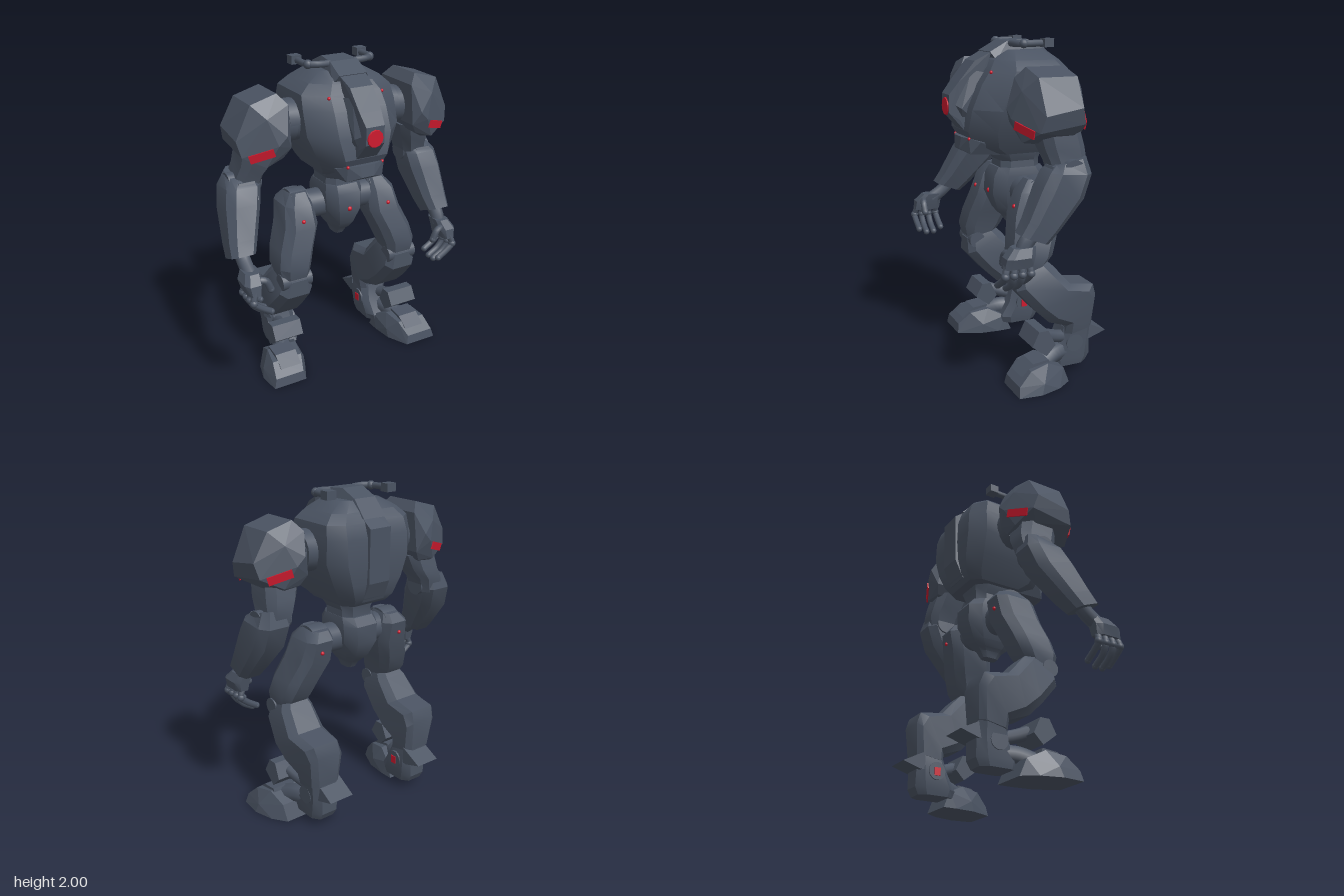
import * as THREE from 'three';
import { toCreasedNormals } from 'three/addons/utils/BufferGeometryUtils.js';
import { ConvexGeometry } from 'three/addons/geometries/ConvexGeometry.js';

const armor = new THREE.MeshStandardMaterial({ color: 0x4a5362 });
armor.name = 'slate armor';
const red = new THREE.MeshStandardMaterial({ color: 0xcc1a2e });
red.name = 'signal red';

const MID = 0.05; // the body's plane of symmetry

function add(parent, name, geo, mat = armor) {
  const mesh = new THREE.Mesh(geo, mat);
  mesh.name = name;
  parent.add(mesh);
  return mesh;
}

// Stacked chamfered sections, top to bottom:
// [x, y, z, halfWidth, halfDepth, front chamfer, slope, back chamfer]
function loft(rings) {
  const pos = [], idx = [], n = 8;
  for (const [x, y, z, w, d, c = 0.4, slope = 0, cb = c] of rings) {
    const k = 1 - c, q = 1 - cb;
    const pts = [[1, -q], [1, k], [k, 1], [-k, 1], [-1, k], [-1, -q], [-q, -1], [q, -1]];
    for (const [u, v] of pts) pos.push(x + u * w, y + slope * v * d, z + v * d);
  }
  const last = (rings.length - 1) * n;
  for (let r = 0; r < last; r += n) {
    for (let i = 0; i < n; i++) {
      const a = r + i, b = r + (i + 1) % n;
      idx.push(a, b, a + n, b, b + n, a + n);
    }
  }
  for (let i = 1; i < n - 1; i++) idx.push(0, i + 1, i, last, last + i, last + i + 1);
  const geo = new THREE.BufferGeometry();
  geo.setAttribute('position', new THREE.Float32BufferAttribute(pos, 3));
  geo.setIndex(idx);
  return toCreasedNormals(geo, 0.5);
}

const hull = pts => new ConvexGeometry(pts.map(p => new THREE.Vector3(...p)));
// Hull of points mirrored across the body's middle
const midHull = pts => hull(pts.flatMap(([x, y, z]) => [[MID + x, y, z], [MID - x, y, z]]));
const tube = (pts, r, sides = 8) => new THREE.TubeGeometry(
  new THREE.CatmullRomCurve3(pts.map(p => new THREE.Vector3(...p))), 10, r, sides);

// Cylinder whose axis runs along x
function axle(parent, name, x, y, z, r, len) {
  const geo = new THREE.CylinderGeometry(r, r, len, 20);
  geo.rotateZ(-Math.PI / 2);
  add(parent, name, toCreasedNormals(geo, 0.6)).position.set(x, y, z);
}

function ball(parent, name, x, y, z, r, mat = armor) {
  add(parent, name, new THREE.SphereGeometry(r, 14, 10), mat).position.set(x, y, z);
}

function buildTorso(root) {
  const g = new THREE.Group();
  g.name = 'torso';
  root.add(g);
  const body = [ // y, front z, back z, half width
    [1.93, 0.10, -0.16, 0.14], [1.875, 0.17, -0.22, 0.235], [1.82, 0.21, -0.265, 0.295],
    [1.74, 0.265, -0.29, 0.305], [1.60, 0.325, -0.295, 0.305], [1.47, 0.34, -0.285, 0.25],
    [1.37, 0.29, -0.26, 0.195], [1.325, 0.2, -0.22, 0.165]];
  add(g, 'hull', loft(body.map(([y, f, b, w]) =>
    [MID, y, (f + b) / 2, w, (f - b) / 2, 0.44, 0, 0.28])));
  add(g, 'hood', midHull([[0.12, 1.87, 0.15], [0.12, 1.88, -0.02], [0.09, 1.98, 0.07],
    [0.075, 1.988, -0.06], [0.075, 1.94, -0.17], [0.08, 1.84, -0.26], [0.09, 1.92, 0.18]]));
  add(g, 'snout', midHull([[0.085, 1.92, 0.17], [0.075, 1.87, 0.27], [0.07, 1.75, 0.37],
    [0.06, 1.68, 0.425], [0.06, 1.575, 0.425], [0.07, 1.53, 0.36], [0.07, 1.45, 0.32]]));
  add(g, 'spine', midHull([[0.08, 1.96, -0.09], [0.075, 1.79, -0.312], [0.075, 1.47, -0.305],
    [0.08, 1.35, -0.25], [0.09, 1.45, 0]]));
  add(g, 'chin', midHull([[0.165, 1.41, 0.27], [0.12, 1.43, 0.33], [0.05, 1.43, 0.35],
    [0.12, 1.335, 0.32], [0.04, 1.36, 0.36], [0.14, 1.32, 0.12], [0.16, 1.4, 0.1]]));

  // Round chest lamp in a collar
  const lamp = new THREE.CylinderGeometry(0.05, 0.054, 0.009, 12);
  lamp.rotateX(Math.PI / 2);
  add(g, 'chestLamp', lamp, red).position.set(MID, 1.61, 0.427);

  for (const s of [-1, 1]) {
    const x = v => MID + s * v;
    add(g, 'snoutRail', hull([[x(0.07), 1.82, 0.29], [x(0.095), 1.8, 0.2], [x(0.095), 1.6, 0.36],
      [x(0.07), 1.62, 0.39], [x(0.09), 1.55, 0.3], [x(0.07), 1.55, 0.35]]));
    add(g, 'antenna', tube([[x(0.08), 1.965, 0.05], [x(0.16), 1.968, 0.05], [x(0.205), 1.968, 0.02],
      [x(0.215), 1.97, -0.12]], 0.02));
    add(g, 'antennaTip', new THREE.BoxGeometry(0.065, 0.05, 0.06)).position.set(x(0.22), 1.972, -0.12);
    ball(g, 'antennaKnob', x(0.205), 1.968, 0.02, 0.027);
    ball(g, 'chestLight', x(0.175), 1.81, 0.21, 0.01, red);
    ball(g, 'chinLight', x(0.115), 1.425, 0.325, 0.01, red);
    axle(g, 'shoulderCollar', x(0.31), 1.655, -0.01, 0.125, 0.12);
    axle(g, 'shoulderAxle', x(0.39), 1.65, 0, 0.115, 0.14);
  }

  // Waist and pelvis
  add(g, 'waist', loft([[MID, 1.40, -0.01, 0.15, 0.16], [MID, 1.32, -0.01, 0.135, 0.15],
    [MID, 1.27, -0.02, 0.11, 0.125], [MID, 1.2, -0.02, 0.115, 0.13]]));
  add(g, 'pelvis', loft([[MID, 1.23, -0.02, 0.115, 0.14], [MID, 1.18, -0.025, 0.125, 0.175],
    [MID, 1.07, -0.02, 0.12, 0.18], [MID, 0.97, -0.015, 0.08, 0.135], [MID, 0.93, -0.01, 0.058, 0.10],
    [MID, 0.91, -0.01, 0.042, 0.075], [MID, 0.87, -0.01, 0.03, 0.05]]));
  ball(g, 'pelvisLight', MID, 1.08, 0.153, 0.016, red);
}

function buildArm(root, s) {
  const g = new THREE.Group();
  g.name = s > 0 ? 'leftArm' : 'rightArm';
  root.add(g);
  const x = v => MID + s * v;
  const elbow = s > 0 ? 0.605 : 0.625, wrist = s > 0 ? 0.635 : 0.735, handZ = s > 0 ? 0.25 : 0.31;

  // Faceted shoulder pad; the back's lower edge sits higher than the front's
  const half = [[0.50, 1.59, 0.22], [0.69, 1.53, 0.135], [0.56, 1.465, 0.18], [0.45, 1.64, 0.225],
    [0.71, 1.62, 0.11], [0.45, 1.5, 0.165], [0.62, 1.815, 0.115], [0.46, 1.86, 0.115],
    [0.41, 1.80, 0.16], [0.41, 1.56, 0.19], [0.55, 1.74, 0.18], [0.64, 1.50, 0.09], [0.53, 1.45, 0.1]];
  const corners = f => half.map(([a, y, z], i) => [x(a), y + (f < 0 && i < 5 ? 0.035 : 0), 0.013 + f * z]);
  add(g, 'shoulderPad', hull([...corners(1), ...corners(-1)]));

  // Red strips lying on the pad's front and back faces
  for (const f of [1, -1]) {
    const [A, B, C] = corners(f).slice(0, 3).map(p => new THREE.Vector3(...p));
    const u = B.clone().sub(A).normalize();
    const n = u.clone().cross(C.clone().sub(A)).normalize();
    if (n.z * f < 0) n.negate();
    const m = add(g, f > 0 ? 'frontStrip' : 'backStrip', new THREE.BoxGeometry(0.145, 0.048, 0.009), red);
    m.quaternion.setFromRotationMatrix(new THREE.Matrix4().makeBasis(u, n.clone().cross(u), n));
    m.position.copy(A).lerp(B, 0.5).lerp(C, 0.24).addScaledVector(n, 0.003);
  }

  add(g, 'upperArm', loft([[x(0.53), 1.52, -0.02, 0.11, 0.12], [x(0.55), 1.43, -0.04, 0.1, 0.12],
    [x(elbow - 0.04), 1.36, -0.06, 0.085, 0.11], [x(elbow - 0.02), 1.27, -0.06, 0.08, 0.09]]));
  axle(g, 'elbow', x(elbow - 0.015), 1.31, -0.06, 0.065, 0.2);
  const fx = t => x(elbow + (wrist - elbow) * t);
  add(g, 'forearm', loft([[fx(0), 1.365, -0.06, 0.075, 0.09, 0.4, -0.2], [fx(0.1), 1.3, -0.05, 0.107, 0.125, 0.4, 0.1],
    [fx(0.35), 1.19, 0.0, 0.107, 0.125, 0.4, 0.3], [fx(0.8), 1.02, 0.115, 0.088, 0.09, 0.4, 0.4],
    [fx(1), 0.95, 0.17, 0.075, 0.08, 0.4, 0.4]]));
  add(g, 'elbowPlate', hull([-0.05, 0.05].flatMap(d => [[fx(0) + d, 1.34, 0.05], [fx(0) + d, 1.24, 0.1],
    [fx(0) + d, 1.34, 0], [fx(0) + d, 1.24, 0]])));

  // Hand with curled fingers
  const hx = x(wrist - 0.005);
  add(g, 'wrist', tube([[hx, 0.98, 0.15], [hx, 0.93, 0.2], [hx, 0.87, handZ - 0.02]], 0.045));
  add(g, 'palm', loft([[hx, 0.91, handZ - 0.03, 0.045, 0.065], [hx + s * 0.015, 0.86, handZ, 0.055, 0.085],
    [hx + s * 0.015, 0.80, handZ + 0.01, 0.04, 0.085]]));
  for (let i = 0; i < 4; i++) {
    const z = handZ - 0.055 + i * 0.043, drop = i === 0 || i === 3 ? 0.025 : 0;
    const zt = z + (i - 1) * 0.008;
    add(g, 'finger', tube([[hx + s * 0.015, 0.82, z], [hx + s * 0.035, 0.76, zt],
      [hx, 0.70 + drop, zt], [hx - s * 0.07, 0.655 + drop, zt]], 0.02, 7));
    ball(g, 'knuckle', hx + s * 0.035, 0.76, zt, 0.024);
    ball(g, 'fingertip', hx - s * 0.07, 0.655 + drop, zt, 0.02);
  }
  add(g, 'thumb', tube([[hx - s * 0.02, 0.87, handZ + 0.04], [hx - s * 0.06, 0.86, handZ + 0.05],
    [hx - s * 0.09, 0.80, handZ + 0.05]], 0.022, 7));
  ball(g, 'thumbTip', hx - s * 0.09, 0.80, handZ + 0.05, 0.022);
}

function buildLeg(root, s) {
  const g = new THREE.Group();
  g.name = s > 0 ? 'leftLeg' : 'rightLeg';
  root.add(g);
  // The left leg stands a little wider
  const x = (v, y) => MID + s * (v + (s > 0 ? 0.055 * (1.1 - y) : 0));
  const ring = ([a, y, ...rest]) => [x(a, y), y, ...rest];
  const block = (name, x0, x1, prof) => add(g, name,
    hull(prof.flatMap(([z, y]) => [[x(x0, y), y, z], [x(x1, y), y, z]])));

  axle(g, 'hipJoint', x(0.16, 1.09), 1.09, -0.02, 0.09, 0.16);
  axle(g, 'hipCap', x(0.275, 1.12), 1.105, -0.035, 0.1, 0.11);
  add(g, 'thigh', loft([[0.275, 1.19, -0.045, 0.055, 0.08, 0.4, 0.1], [0.29, 1.13, -0.035, 0.093, 0.13],
    [0.295, 1.0, 0.0, 0.11, 0.14], [0.345, 0.87, 0.04, 0.11, 0.135], [0.37, 0.77, 0.07, 0.105, 0.125],
    [0.37, 0.70, 0.09, 0.09, 0.09]].map(ring)));
  ball(g, 'hipLight', x(0.30, 1.045), 1.045, 0.122, 0.013, red);
  ball(g, 'rearHipLight', x(0.30, 1.06), 1.06, -0.153, 0.012, red);
  axle(g, 'knee', x(0.37, 0.67), 0.675, 0.125, 0.052, 0.2);

  add(g, 'shin', loft([[0.365, 0.72, 0.09, 0.085, 0.09, 0.4, -0.4], [0.37, 0.645, 0.065, 0.112, 0.115, 0.35, -0.55],
    [0.375, 0.52, -0.045, 0.127, 0.11, 0.35, -0.63], [0.37, 0.465, -0.165, 0.12, 0.145, 0.3, -0.68],
    [0.36, 0.405, -0.24, 0.115, 0.095, 0.3, -0.9], [0.35, 0.28, -0.23, 0.10, 0.09, 0.35, -0.2]].map(ring)));
  add(g, 'heel', loft([[0.35, 0.30, -0.23, 0.095, 0.09], [0.335, 0.2, -0.215, 0.095, 0.105],
    [0.335, 0.10, -0.185, 0.09, 0.135], [0.335, 0.055, -0.18, 0.08, 0.115]].map(ring)));
  block('heelSpike', 0.245, 0.41, [[-0.28, 0.31], [-0.33, 0.27], [-0.425, 0.235], [-0.31, 0.2], [-0.28, 0.2]]);
  axle(g, 'ankle', x(0.335, 0.2), 0.2, -0.2, 0.055, 0.2);
  add(g, 'ankleLight', new THREE.BoxGeometry(0.009, 0.05, 0.04), red)
    .position.set(x(0.234, 0.2), 0.195, -0.2);

  // Shin guard on its strut, above the foot
  block('shinGuard', 0.315, 0.51, [[0.075, 0.345], [0.015, 0.345], [-0.03, 0.25], [0.03, 0.19], [0.12, 0.26]]);
  add(g, 'guardStrut', tube([[x(0.41, 0.25), 0.28, 0], [x(0.39, 0.25), 0.25, -0.08], [x(0.36, 0.2), 0.22, -0.2]], 0.04));
  add(g, 'footLink', tube([[x(0.42, 0.15), 0.11, 0.02], [x(0.39, 0.15), 0.14, -0.07], [x(0.35, 0.15), 0.14, -0.2]], 0.06));

  // Foot, turned outward a little
  const foot = [];
  for (const [z, y, cx, w] of [[0.24, 0, 0.47, 0.11], [0.23, 0.06, 0.47, 0.095], [0.15, 0.135, 0.45, 0.10],
    [0.03, 0.155, 0.43, 0.10], [-0.08, 0.10, 0.40, 0.11], [-0.12, 0, 0.39, 0.11],
    [0.10, 0, 0.445, 0.15], [0.08, 0.06, 0.44, 0.145], [-0.03, 0, 0.42, 0.14]])
    foot.push([x(cx - w, y), y, z], [x(cx + w, y), y, z]);
  add(g, 'foot', hull(foot));
  block('footRidge', 0.375, 0.515, [[0.2, 0.10], [0.12, 0.16], [0.02, 0.17], [0, 0.1]]);
}

export function createModel() {
  const root = new THREE.Group();
  root.name = 'robot';
  buildTorso(root);
  for (const s of [-1, 1]) {
    buildArm(root, s);
    buildLeg(root, s);
  }
  return root;
}
